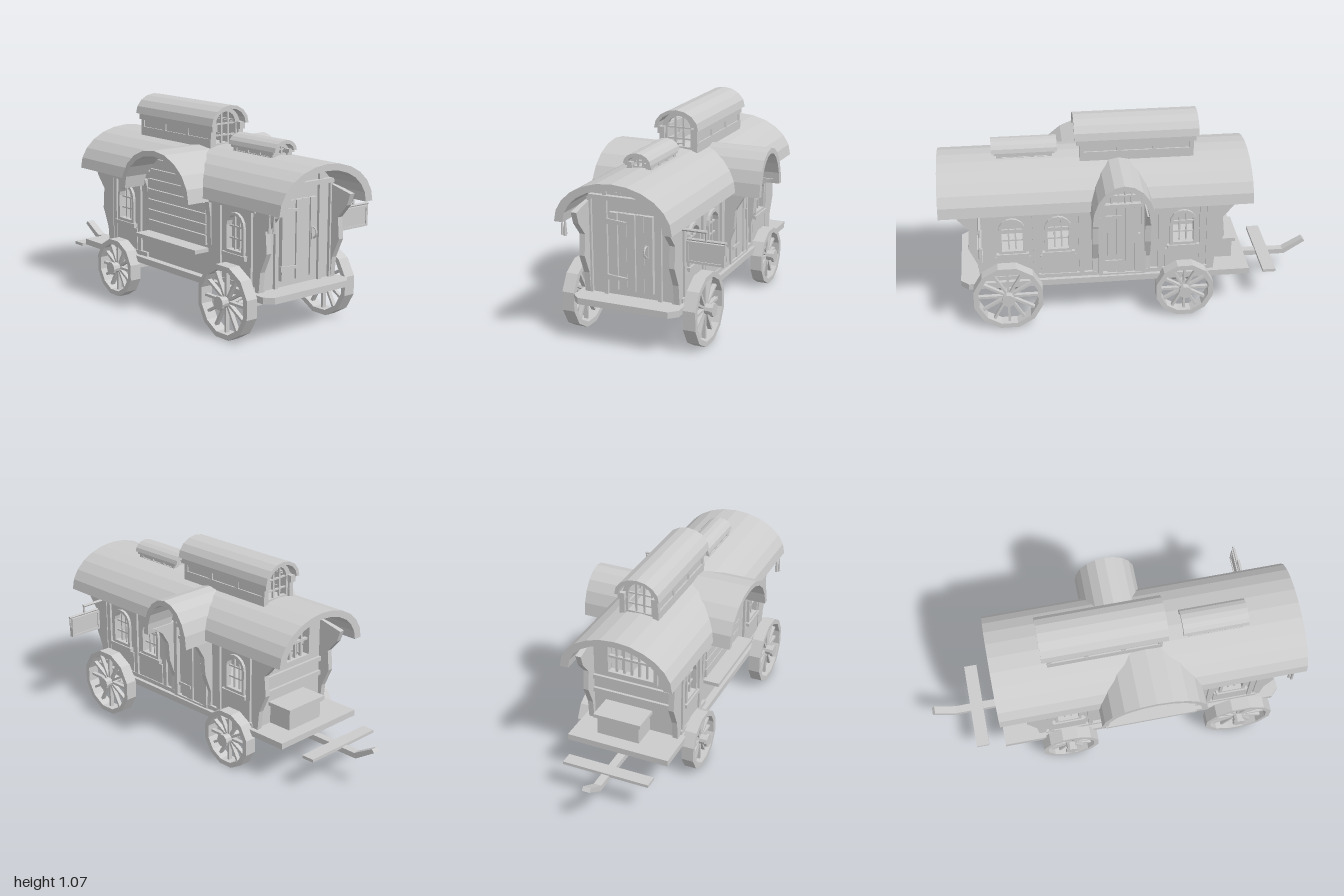
import * as THREE from 'three';

const CX = -0.05; // body centre line
const MAIN = { c: CX, hw: 0.307, y0: 0.65, h: 0.215 };
const DOOR_DORMER = { c: 0.06, hw: 0.163, y0: 0.635, h: 0.225, x: 0.39, s: 1 };
const BENCH_DORMER = { c: 0.17, hw: 0.28, y0: 0.63, h: 0.23, x: -0.45, s: -1 };

export function createModel() {
  const root = new THREE.Group();
  root.name = 'wagon';
  const mat = new THREE.MeshStandardMaterial({ color: 0xcccccc, flatShading: true, side: THREE.DoubleSide });

  const add = (name, geo, parent = root) => {
    const m = new THREE.Mesh(geo, mat);
    m.name = name;
    parent.add(m);
    return m;
  };
  const poly = pts => new THREE.Shape(pts.map(p => new THREE.Vector2(p[0], p[1])));
  const rect = (u0, v0, u1, v1) => poly([[u0, v0], [u1, v0], [u1, v1], [u0, v1]]);
  // rectangle with a rounded top: centre, base, width, total height
  const arched = (c, v0, w, h, n = 8, rise = w / 2) => {
    const p = [[c - w / 2, v0], [c + w / 2, v0]];
    for (let i = 0; i <= n; i++) {
      const a = Math.PI * i / n;
      p.push([c + Math.cos(a) * w / 2, v0 + h - rise + Math.sin(a) * rise]);
    }
    return poly(p);
  };
  const cut = (shape, ...holes) => { shape.holes.push(...holes); return shape; };
  // extrude a shape: plane 'z' uses (x, y), plane 'x' uses (z, y)
  const slab = (name, shape, plane, at, depth, parent) => {
    const g = new THREE.ExtrudeGeometry(shape, { depth, bevelEnabled: false });
    if (plane === 'x') g.rotateY(-Math.PI / 2).translate(at + depth, 0, 0);
    else g.translate(0, 0, at);
    return add(name, g, parent);
  };
  // slide the end of an extrusion along one axis, by height
  const trimEnd = (mesh, axis, end, fn) => {
    const p = mesh.geometry.attributes.position;
    for (let i = 0; i < p.count; i++)
      if (Math.abs(p.getComponent(i, axis) - end) < 1e-5) p.setComponent(i, axis, fn(p.getY(i)));
    mesh.geometry.computeVertexNormals();
  };
  const box = (name, x0, x1, y0, y1, z0, z1, parent) =>
    slab(name, rect(x0, y0, x1, y1), 'z', z0, z1 - z0, parent);
  const rod = (name, r, len, x, y, z, axis, sides = 8, r2 = r) => {
    const g = new THREE.CylinderGeometry(r, r2, len, sides);
    if (axis === 'x') g.rotateZ(-Math.PI / 2);
    return add(name, g.translate(x, y, z));
  };
  // half width of an arch at a height
  const widthAt = (d, y) => {
    const k = (y - d.y0) / d.h;
    return k >= 1 ? 0 : d.hw * Math.sqrt(1 - Math.max(k, 0) ** 2);
  };
  // quads forming an arched shell, tu thick at the eaves and tv at the crown
  const slats = (d, tu, tv, n) => {
    const pt = (i, u, v) => {
      const a = Math.PI * i / n;
      return [d.c + Math.cos(a) * (d.hw - u), d.y0 + Math.sin(a) * (d.h - v)];
    };
    return Array.from({ length: n }, (_, i) => [pt(i, 0, 0), pt(i + 1, 0, 0), pt(i + 1, tu, tv), pt(i, tu, tv)]);
  };

  // Main roof, trimmed along the line where the dormers meet it
  for (const q of slats(MAIN, 0.046, 0.033, 12)) {
    const u = (q[0][0] + q[1][0]) / 2;
    const d = u > CX ? DOOR_DORMER : BENCH_DORMER;
    const reach = y => Math.max(widthAt(d, y) - 0.012, 0);
    trimEnd(slab('mainRoof', poly(q), 'z', -0.63, d.c + 0.63), 2, d.c, y => d.c - reach(y));
    trimEnd(slab('mainRoof', poly(q), 'z', d.c, 1 - d.c), 2, d.c, y => d.c + reach(y));
  }
  // Dormer roofs
  for (const d of [DOOR_DORMER, BENCH_DORMER]) {
    for (const q of slats(d, 0.03, 0.028, 10)) {
      const m = slab('dormerRoof', poly(q), 'x', Math.min(CX, d.x), Math.abs(d.x - CX));
      trimEnd(m, 0, CX, y => CX + d.s * Math.max(widthAt(MAIN, y) - 0.03, 0));
    }
  }

  // Roof lanterns with arched end windows
  const lantern = (c, hw, z0, z1, eave, top, over) => {
    const base = 0.835, w = hw * 2;
    const d = { c, hw: hw + over, y0: eave, h: top - eave };
    for (const q of slats(d, 0.02, 0.018, 8)) slab('lanternRoof', poly(q), 'z', z0 - 0.038, z1 - z0 + 0.076);
    const h = top - 0.017 - base, ww = w * 0.68;
    for (const z of [z0, z1 - 0.02]) {
      slab('lanternEnd', cut(arched(c, base, w, h, 10, Math.min(hw, top - eave)),
        arched(c, base + 0.035, ww, h - 0.055)), 'z', z, 0.02);
      for (const k of [-0.17, 0.17]) box('lanternBar', c + ww * k - 0.005, c + ww * k + 0.005, base + 0.03, top - 0.035, z + 0.005, z + 0.015);
      for (const k of [0.35, 0.62]) {
        const y = base + h * k;
        box('lanternBar', c - ww / 2, c + ww / 2, y - 0.004, y + 0.004, z + 0.005, z + 0.015);
      }
    }
    for (const s of [-1, 1]) {
      const x = c + s * (hw - 0.004);
      box('lanternSide', x - 0.008, x + 0.008, base, eave + 0.01, z0, z1);
      box('lanternLowerRail', x - 0.016, x + 0.016, 0.84, 0.84 + (eave - 0.84) * 0.45, z0 - 0.01, z1 + 0.01);
      box('lanternUpperRail', x - 0.018, x + 0.018, eave - (eave - 0.84) * 0.25, eave + 0.005, z0 - 0.025, z1 + 0.025);
      for (let i = 0; i < 4; i++) {
        const z = z0 + (z1 - z0) * i / 3;
        box('lanternPost', x - 0.014, x + 0.014, base, eave, z - 0.012, z + 0.012);
      }
    }
  };
  lantern(CX + 0.006, 0.096, -0.326, 0.248, 0.968, 1.068, 0.027);
  lantern(CX - 0.007, 0.055, 0.412, 0.678, 0.888, 0.943, 0.018);

  // Floor with chamfered front corners
  const floor = new THREE.ExtrudeGeometry(poly([[-0.335, 0.63], [0.23, 0.63], [0.23, -0.87], [0.19, -0.91], [-0.295, -0.91], [-0.335, -0.87]]),
    { depth: 0.033, bevelEnabled: false });
  add('floor', floor.rotateX(-Math.PI / 2).translate(0, 0.205, 0));

  // Gable walls
  const gable = () => {
    const p = [[CX - 0.243, 0.235], [CX + 0.243, 0.235]];
    for (let i = -8; i <= 8; i++) {
      const u = -i / 8 * 0.243;
      p.push([CX + u, 0.64 + 0.2 * Math.sqrt(1 - (u / 0.285) ** 2)]);
    }
    return poly(p);
  };
  const lights = [-0.125, -0.05, 0.028];
  slab('frontWall', cut(gable(), ...lights.map(x => rect(x - 0.01, 0.762, x + 0.01, 0.822))), 'z', 0.77, 0.02);
  for (const x of lights) slab('frontLightFrame', cut(rect(x - 0.018, 0.755, x + 0.018, 0.828), rect(x - 0.01, 0.762, x + 0.01, 0.822)), 'z', 0.785, 0.015);
  slab('backWall', cut(gable(), rect(-0.17, 0.55, 0.085, 0.72)), 'z', -0.42, 0.02);
  slab('backWindowFrame', cut(rect(-0.19, 0.53, 0.105, 0.74), rect(-0.17, 0.55, 0.085, 0.72)), 'z', -0.44, 0.04);
  for (let i = 1; i < 6; i++) {
    const x = -0.17 + 0.255 * i / 6;
    box('backWindowBar', x - 0.006, x + 0.006, 0.54, 0.73, -0.425, -0.41);
  }
  box('backWindowRail', -0.18, 0.095, 0.63, 0.642, -0.428, -0.41);
  for (const y of [0.4, 0.48]) box('backPlank', -0.28, 0.18, y, y + 0.025, -0.435, -0.41);
  box('frontBeam', -0.275, 0.18, 0.722, 0.745, 0.785, 0.815);
  for (const x of [-0.275, -0.19, 0.1, 0.175]) box('frontBatten', x - 0.01, x + 0.01, 0.235, x > -0.2 && x < 0.15 ? 0.82 : 0.725, 0.785, 0.805);

  // Front door
  for (let i = 0; i < 5; i++) box('frontDoorPlank', -0.163 + i * 0.047, -0.12 + i * 0.047, 0.272, 0.665, 0.785, i % 2 ? 0.808 : 0.813);
  for (const y of [0.335, 0.62]) {
    slab('frontDoorHinge', poly([[-0.175, y - 0.014], [-0.155, y - 0.014], [-0.07, y - 0.008], [-0.065, y + 0.004], [-0.155, y + 0.012], [-0.175, y + 0.014]]), 'z', 0.81, 0.01);
  }
  box('frontDoorPlate', 0.03, 0.047, 0.455, 0.52, 0.81, 0.818);
  add('frontDoorHandle', new THREE.TorusGeometry(0.027, 0.005, 5, 8, Math.PI).rotateZ(-Math.PI / 2).rotateY(-Math.PI / 2).translate(0.038, 0.49, 0.815));

  // Side walls with arched windows
  const WIN = { 1: [0.63, 0.39, -0.27], '-1': [0.63, -0.27] };
  for (const s of [1, -1]) {
    const xw = CX + s * 0.237;
    const at = (off, t) => s > 0 ? xw + off : xw - off - t;
    const win = (z, grow = 0) => arched(z, 0.415 - grow, 0.11 + grow * 2, 0.175 + grow * 2);
    slab('sideWall', cut(rect(-0.4, 0.235, 0.78, 0.7), ...WIN[s].map(z => win(z))), 'x', at(-0.01, 0.02), 0.02);
    for (const z of WIN[s]) {
      slab('windowFrame', cut(win(z, 0.016), win(z)), 'x', at(0.005, 0.02), 0.02);
      for (const k of [-0.018, 0.018]) slab('windowBar', rect(z + k - 0.004, 0.41, z + k + 0.004, 0.582), 'x', at(-0.004, 0.01), 0.01);
      for (const y of [0.47, 0.53]) slab('windowBar', rect(z - 0.057, y - 0.004, z + 0.057, y + 0.004), 'x', at(-0.004, 0.01), 0.01);
      slab('windowSill', rect(z - 0.085, 0.38, z + 0.085, 0.4), 'x', at(0.005, 0.028), 0.028);
      slab('lowerPanel', rect(z - 0.095, 0.25, z + 0.095, 0.375), 'x', at(0.005, 0.014), 0.014);
    }
    const d = s > 0 ? DOOR_DORMER : BENCH_DORMER;
    for (const z of s > 0 ? [0.74, 0.51, 0.27, -0.15, -0.37] : [0.74, 0.51, -0.15, -0.37])
      slab('wallPost', rect(z - 0.013, 0.235, z + 0.013, 0.68), 'x', at(0.005, 0.018), 0.018);
    // Rails stop at the dormer
    for (const [a, b] of [[-0.4, d.c - d.hw + 0.03], [d.c + d.hw - 0.03, 0.78]])
      for (const y of [0.24, 0.625]) slab('wallRail', rect(a, y, b, y + 0.022), 'x', at(0.005, 0.02), 0.02);
    // Wall under the dormer and its curved brackets, shallower beside the bench
    slab('dormerWall', arched(d.c, 0.235, d.hw * 2 - 0.05, d.y0 + d.h - 0.25, 12, d.h - 0.02), 'x', at(-0.01, 0.02), 0.02);
    const flare = s > 0 ? 1 : 0.25;
    const bracket = [[-0.02, 0.235], [0.025, 0.235], [0.02, 0.34], [0.06, 0.45], [0.068, 0.55], [0.11, 0.62], [0.17, 0.66], [-0.02, 0.66]];
    for (const e of [-1, 1]) {
      const z = d.c + e * (d.hw - 0.025);
      slab('dormerBracket', poly(bracket.map(([o, y]) => [xw + s * flare * o, y])), 'z', z - 0.016, 0.032);
    }
    // Flared corner posts
    const post = [[0.765, 0.235], [0.805, 0.235], [0.815, 0.34], [0.86, 0.44], [0.85, 0.55], [0.91, 0.62], [0.93, 0.68], [0.765, 0.72]];
    for (const f of [z => z, z => 0.37 - z])
      slab('cornerPost', poly(post.map(([z, y]) => [f(z), y])), 'x', at(-0.012, 0.03), 0.03);
  }

  // Arched side door
  const dz = 0.04, dx = 0.19;
  for (let i = 0; i < 4; i++) slab('sideDoorPlank', rect(dz - 0.095 + i * 0.048, 0.245, dz - 0.051 + i * 0.048, 0.645), 'x', dx, i % 2 ? 0.02 : 0.025);
  slab('sideDoorFrame', cut(arched(0.055, 0.24, 0.25, 0.56), arched(0.055, 0.25, 0.205, 0.528)), 'x', dx, 0.03);
  slab('sideDoorTransom', rect(-0.055, 0.645, 0.165, 0.665), 'x', dx, 0.032);
  for (let i = 0; i < 4; i++) slab('sideDoorFanBar', rect(i * 0.035, 0.66, 0.008 + i * 0.035, 0.765), 'x', dx, 0.02);
  slab('sideDoorFanBar', rect(-0.045, 0.705, 0.155, 0.713), 'x', dx, 0.022);
  for (const y of [0.31, 0.58]) slab('sideDoorHinge', rect(0.055, y, 0.145, y + 0.018), 'x', dx + 0.022, 0.008);
  slab('sideDoorHandle', rect(-0.04, 0.43, -0.028, 0.49), 'x', dx + 0.022, 0.015);

  // Planked bench alcove, planks following the arch
  for (let i = 0; i < 7; i++) {
    const y = 0.4 + i * 0.055, c = BENCH_DORMER.c;
    const w = Math.min(0.24, widthAt(BENCH_DORMER, y + 0.075) - 0.02);
    slab('alcovePlank', rect(c - w, y, c + w, y + 0.048), 'x', -0.31, i % 2 ? 0.02 : 0.015);
  }
  box('sideBench', -0.385, -0.28, 0.365, 0.385, -0.08, 0.42);

  // Rear driver's seat
  box('rearSeatBox', -0.14, 0.095, 0.235, 0.34, -0.555, -0.42);
  box('rearSeatTop', -0.155, 0.11, 0.34, 0.36, -0.57, -0.42);

  // Wheels, axles and bolsters; the rear pair sits closer together
  const ring = (z, y, r, n = 12) => poly(Array.from({ length: n }, (_, i) => {
    const a = 2 * Math.PI * (i + 0.5) / n;
    return [z + Math.cos(a) * r, y + Math.sin(a) * r];
  }));
  for (const [z, R, track] of [[0.665, 0.188, 0.3275], [-0.275, 0.158, 0.302]]) {
    const y = R * Math.cos(Math.PI / 12);
    for (const s of [1, -1]) {
      const x = -0.055 + s * track;
      const wheel = new THREE.Group();
      wheel.name = 'wheel';
      root.add(wheel);
      slab('rim', cut(ring(z, y, R), ring(z, y, R - 0.027)), 'x', x - 0.0325, 0.065, wheel);
      for (let i = 0; i < 12; i++) {
        const g = new THREE.BoxGeometry(0.022, R - 0.02, 0.013).translate(0, (R - 0.02) / 2, 0).rotateX(i * Math.PI / 6);
        add('spoke', g.translate(x, y, z), wheel);
      }
      rod('hub', 0.027, 0.1, x, y, z, 'x', 10);
      rod('hubCap', 0.035, 0.014, x + s * 0.05, y, z, 'x', 10);
      rod('axleNut', 0.02, 0.022, x - s * 0.05, y, z, 'x');
    }
    rod('axle', 0.011, track * 1.9, -0.055, y, z, 'x');
    box('axleBeam', -0.055 - track + 0.04, -0.055 + track - 0.04, 0.148, 0.163, z - 0.02, z + 0.02);
    slab('bolster', poly([[-0.31, 0.207], [0.205, 0.207], [0.145, 0.14], [-0.25, 0.14]]), 'z', z - 0.05, 0.1);
  }

  // Draw shaft and crossbar
  slab('drawShaft', poly([[-0.27, 0.15], [-0.885, 0.15], [-1, 0.223], [-0.985, 0.24], [-0.875, 0.178], [-0.27, 0.183]]), 'x', -0.085, 0.042);
  box('drawCrossbar', -0.3, 0.175, 0.172, 0.188, -0.79, -0.72);
  box('shaftBlock', -0.095, -0.035, 0.147, 0.186, -0.52, -0.45);

  // Hanging blank sign
  rod('signArm', 0.008, 0.15, 0.27, 0.622, 0.795, 'x', 6);
  rod('signHook', 0.006, 0.045, 0.34, 0.6, 0.795, 'y', 6);
  rod('signBar', 0.007, 0.2, 0.345, 0.578, 0.795, 'x', 6);
  for (const x of [0.25, 0.438]) rod('signHanger', 0.006, 0.06, x, 0.55, 0.795, 'y', 6);
  box('signBoard', 0.25, 0.43, 0.47, 0.562, 0.788, 0.802);
  slab('signFrame', cut(rect(0.242, 0.462, 0.435, 0.57), rect(0.254, 0.474, 0.423, 0.558)), 'z', 0.783, 0.024);

  // Hanging herb bundle
  for (const [ox, oz] of [[-0.01, 0], [0.01, 0.01], [0, -0.012]])
    rod('herbBundle', 0.003, 0.085, -0.343 + ox, 0.605, 0.93 + oz, 'y', 5, 0.009);

  return root;
}
